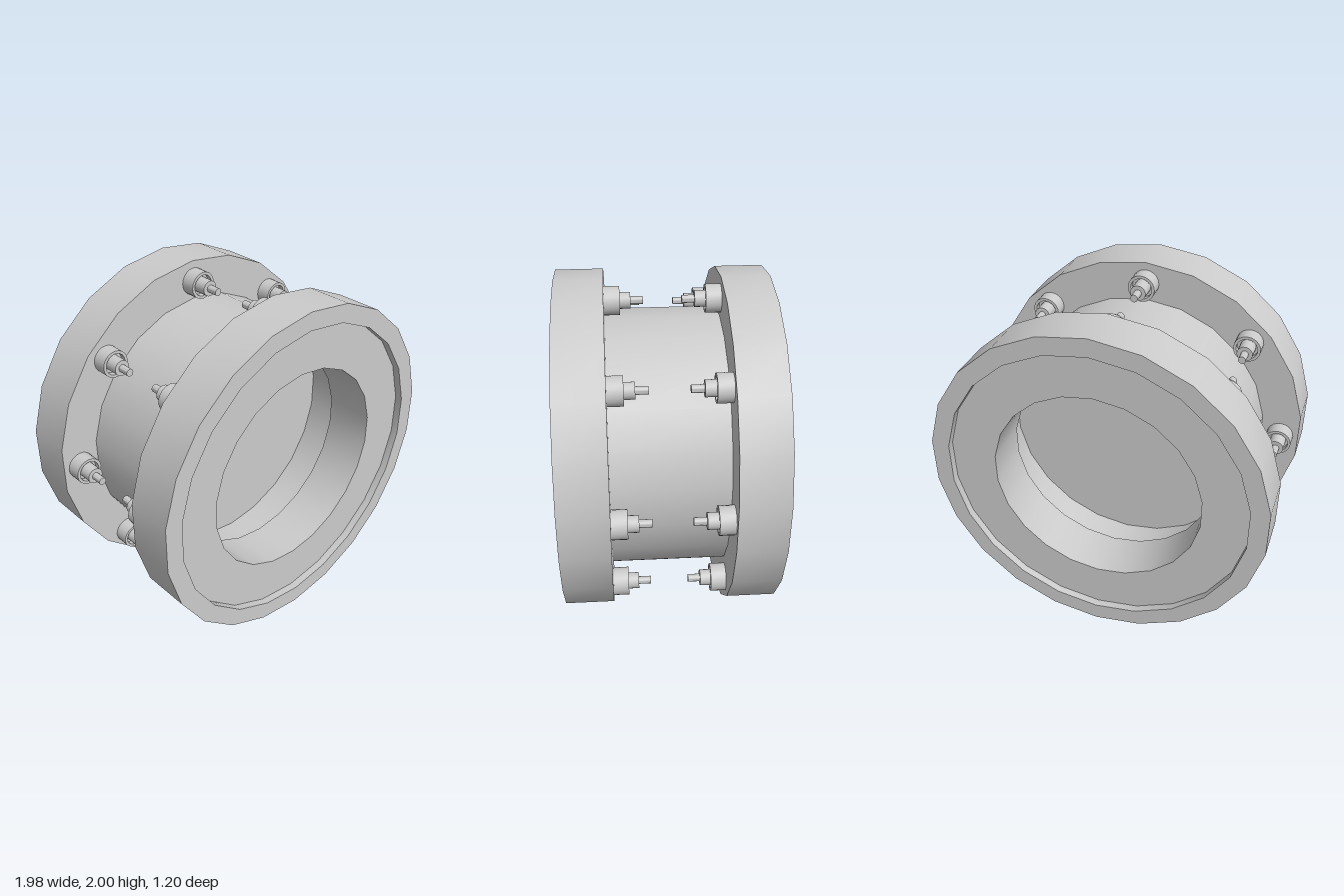
import * as THREE from 'three';
import { toCreasedNormals } from 'three/addons/utils/BufferGeometryUtils.js';

const SIDES = 22;
const material = new THREE.MeshStandardMaterial({ color: 0xcccccc });

// Turned solid from [radius, height] pairs, smooth round the axis with sharp rims
function turned(profile, sides) {
  const points = profile.map(([r, h]) => new THREE.Vector2(r, h));
  return toCreasedNormals(new THREE.LatheGeometry(points, sides), 0.7);
}

function addMesh(parent, name, geometry) {
  const mesh = new THREE.Mesh(geometry, material);
  mesh.name = name;
  parent.add(mesh);
  return mesh;
}

export function createModel() {
  const model = new THREE.Group();
  model.name = 'flangedCoupling';

  // Central tube, closed by a thin dividing wall at mid-length
  const barrel = turned([
    [0, -0.005], [0.735, -0.005], [0.735, -0.33], [0.77, -0.33],
    [0.77, 0.33], [0.735, 0.33], [0.735, 0.005], [0, 0.005],
  ], SIDES).rotateX(Math.PI / 2);
  addMesh(model, 'barrel', barrel).position.y = 1;

  // Flange with a raised outer lip, and an inner collar reaching into the tube
  const flange = turned([
    [0.62, 0.265], [0.75, 0.265], [0.75, 0.325], [1, 0.325], [1, 0.6],
    [0.893, 0.6], [0.893, 0.555], [0.62, 0.555], [0.62, 0.265],
  ], SIDES);

  // Bolt: hollow-faced collar, nut and protruding stud
  const bolt = turned([
    [0, -0.01], [0.08, -0.01], [0.08, 0.088], [0.063, 0.088], [0.063, 0.053],
    [0.046, 0.053], [0.046, 0.147], [0.022, 0.147], [0.022, 0.217], [0, 0.217],
  ], 20);

  // Eight bolts; the intermediate ones sit slightly off the diagonal
  const angles = [];
  for (let i = 0; i < 4; i++) {
    angles.push(i * Math.PI / 2, i * Math.PI / 2 + THREE.MathUtils.degToRad(43.4));
  }

  for (const [side, s] of [['front', 1], ['back', -1]]) {
    const end = new THREE.Group();
    end.name = side + 'End';
    end.position.y = 1;
    model.add(end);

    addMesh(end, side + 'Flange', flange).rotation.x = s * Math.PI / 2;

    // Bolts point inward from the flange's inner face
    angles.forEach((a, i) => {
      const mesh = addMesh(end, `${side}Bolt${i + 1}`, bolt);
      mesh.rotation.x = -s * Math.PI / 2;
      mesh.position.set(0.88 * Math.sin(a), 0.88 * Math.cos(a) - 0.004, s * 0.325);
    });
  }
  return model;
}
